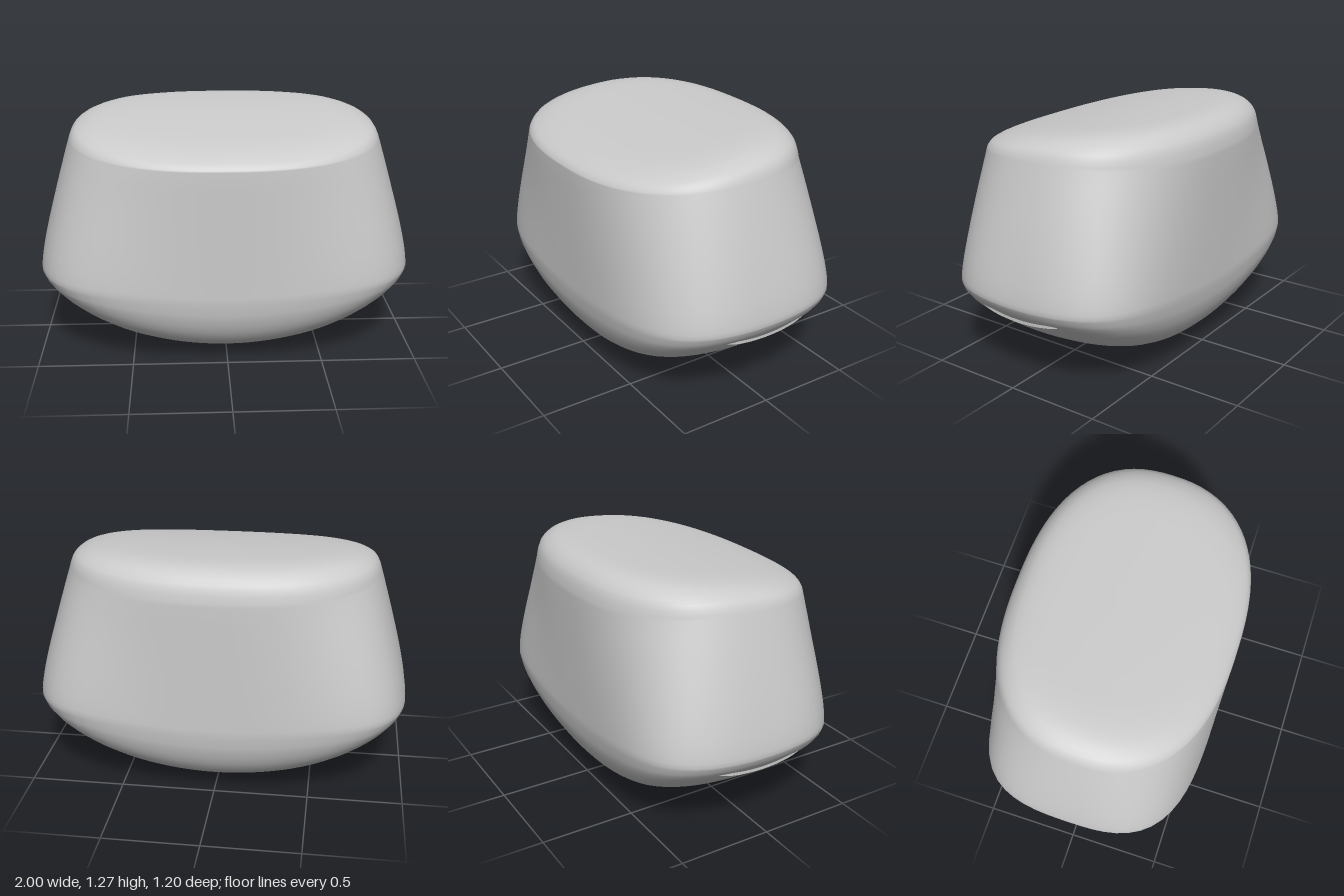
import * as THREE from 'three';

const SEG = 96;

// Radius in direction t of the rounded outline |x/a|^p + |z/b|^q = 1
function radius(t, a, b, p, q) {
  const c = Math.abs(Math.cos(t) / a), s = Math.abs(Math.sin(t) / b);
  let lo = 0, hi = 2;
  for (let i = 0; i < 30; i++) {
    const r = (lo + hi) / 2;
    if (Math.pow(r * c, p) + Math.pow(r * s, q) < 1) lo = r; else hi = r;
  }
  return lo;
}

// Piecewise linear lookup in [position, value] pairs
function lookup(pairs, s) {
  for (let i = 1; i < pairs.length; i++) {
    const [p, u] = pairs[i - 1], [q, v] = pairs[i];
    if (s <= q) return u + (v - u) * (s - p) / (q - p);
  }
  return pairs[pairs.length - 1][1];
}

const rimRise = [[0, 0], [0.7, 0], [0.8, 0.07], [0.867, 0.19], [0.92, 0.34], [0.96, 0.52], [0.985, 0.72], [1, 1]];
const rimDrop = [[0, 0], [0.74, 0], [0.84, 0.012], [0.9, 0.027], [0.94, 0.045], [0.97, 0.068], [0.99, 0.098], [1, 0.13]];
const steps = [0, 0.15, 0.3, 0.45, 0.6, 0.7, 0.78, 0.84, 0.88, 0.92, 0.95, 0.97, 0.985, 0.995, 1];

// Bowl-shaped underside, s = 0 at the middle and 1 at the rim
function bowl(t, s) {
  const front = Math.sin(t) > 0;
  const r = s * radius(t, 1, front ? 0.592 : 0.6, front ? 4 : 5.5, 3);
  const x = r * Math.cos(t), z = r * Math.sin(t);
  const w = Math.min(1, (z / 0.6) ** 2);
  const rise = 0.08 + 0.17 * w * (1 - 0.7 * x * x);
  const y = 0.36 * x * x + 0.4 * z * z * (1 - 0.6 * x * x) + rise * lookup(rimRise, s);
  return new THREE.Vector3(x, y, z);
}

// Sloping top with a softened edge
function cap(t, s) {
  const r = s * radius(t, 0.83, 0.597, 2.5, 2.4);
  const x = r * Math.cos(t), z = r * Math.sin(t);
  const soft = 0.85 - 0.45 * z / 0.57;
  return new THREE.Vector3(x, 1.24 - 0.115 * z - 0.12 * z * z - soft * lookup(rimDrop, s), z);
}

// Tapering wall that leaves the rim upright, k = 0 at the rim and 1 at the top
function wall(t, k) {
  const low = bowl(t, 1), high = cap(t, 1);
  const mid = low.clone().setY(low.y + 0.12);
  return low.lerp(mid, k).lerp(mid.lerp(high, k), k);
}

// Closed skin through a list of ring functions, from bottom to top
function loft(rings) {
  const pos = [], index = [];
  rings.forEach((ring, j) => {
    for (let i = 0; i < SEG; i++) {
      pos.push(...ring(i / SEG * Math.PI * 2).toArray());
      if (j === 0) continue;
      const k = (i + 1) % SEG, lo = (j - 1) * SEG, hi = j * SEG;
      index.push(lo + i, hi + i, lo + k, lo + k, hi + i, hi + k);
    }
  });
  const g = new THREE.BufferGeometry();
  g.setAttribute('position', new THREE.Float32BufferAttribute(pos, 3));
  g.setIndex(index);
  g.computeVertexNormals();
  return g;
}

// Thin upright crescent along the lower edge of one side
function crescent(side) {
  const pos = [], index = [], n = 24;
  for (let i = 0; i <= n; i++) {
    const u = i / n * 2 - 1;
    const p = bowl(u * 0.285 - 0.02, 0.95);
    const top = p.y + 0.002 + 0.02 * u * u, height = 0.016 * (1 - u ** 6);
    for (const y of [top - height, top]) pos.push(side * (p.x + 0.008), y, p.z);
    if (i < n) index.push(2 * i, 2 * i + 1, 2 * i + 2, 2 * i + 2, 2 * i + 1, 2 * i + 3);
  }
  const g = new THREE.BufferGeometry();
  g.setAttribute('position', new THREE.Float32BufferAttribute(pos, 3));
  if (side < 0) index.reverse();
  g.setIndex(index);
  g.computeVertexNormals();
  return g;
}

export function createModel() {
  const group = new THREE.Group();
  const material = new THREE.MeshStandardMaterial({ color: 0xcccccc });
  const thin = new THREE.MeshStandardMaterial({ color: 0xcccccc, side: THREE.DoubleSide });

  // Body: underside, tapering wall, then the top
  const rings = steps.map(s => t => bowl(t, s));
  for (let k = 1; k < 12; k++) rings.push(t => wall(t, k / 12));
  [...steps].reverse().forEach(s => rings.push(t => cap(t, s)));
  const body = new THREE.Mesh(loft(rings), material);
  body.name = 'body';
  group.add(body);

  // Side slits
  for (const side of [1, -1]) {
    const slit = new THREE.Mesh(crescent(side), thin);
    slit.name = side > 0 ? 'leftSlit' : 'rightSlit';
    group.add(slit);
  }
  return group;
}
